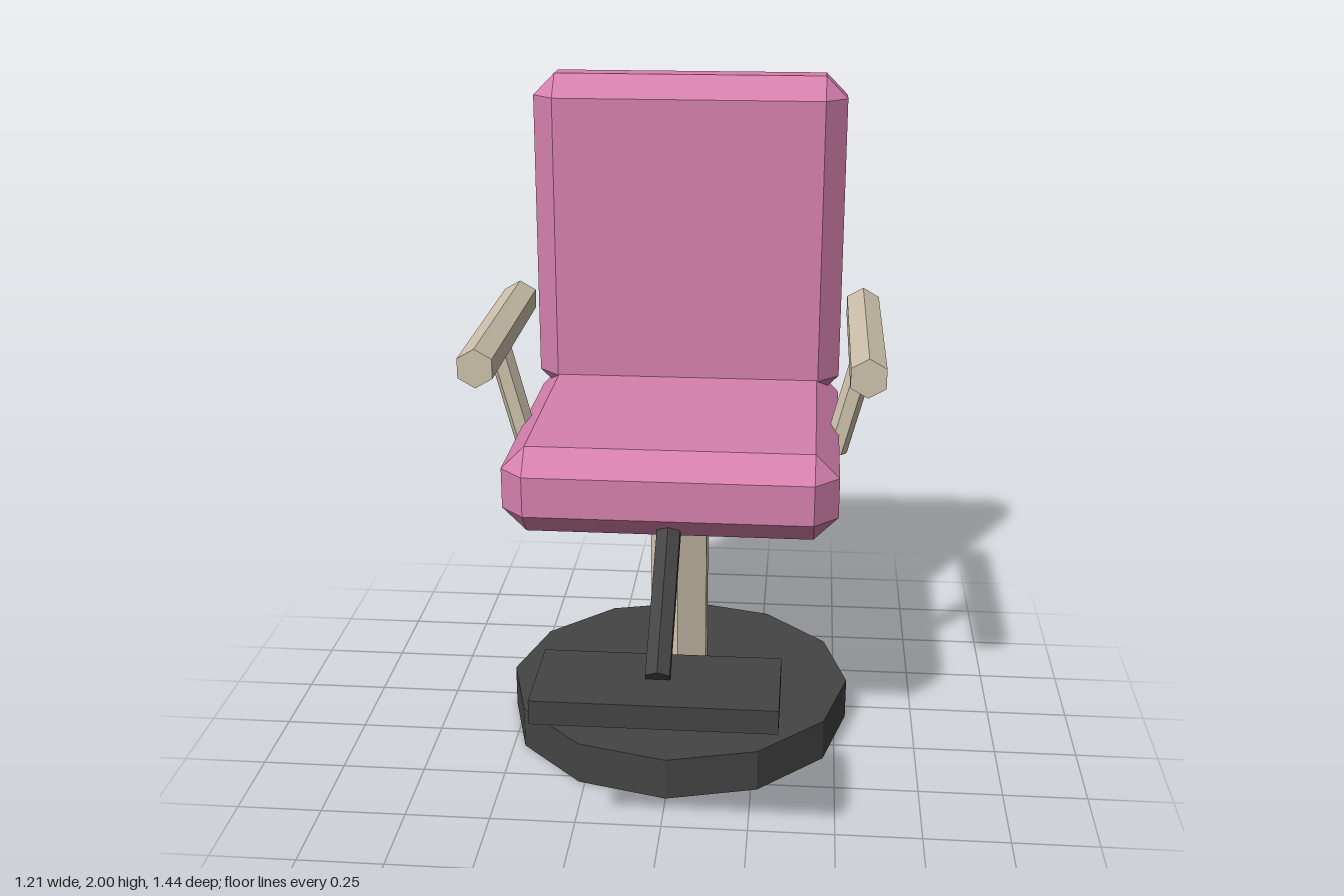
import * as THREE from 'three';
import { ConvexGeometry } from 'three/addons/geometries/ConvexGeometry.js';

const UP = new THREE.Vector3(0, 1, 0);

// Box with chamfered edges and triangular corners, given by its extents
function chamferBox([x0, x1], [y0, y1], [z0, z1], c) {
  const h = [(x1 - x0) / 2, (y1 - y0) / 2, (z1 - z0) / 2];
  const points = [];
  for (const sx of [-1, 1]) for (const sy of [-1, 1]) for (const sz of [-1, 1]) {
    for (let axis = 0; axis < 3; axis++) {
      const p = h.map((v, i) => (i === axis ? v : v - c));
      points.push(new THREE.Vector3(p[0] * sx, p[1] * sy, p[2] * sz));
    }
  }
  return new ConvexGeometry(points).translate((x0 + x1) / 2, (y0 + y1) / 2, (z0 + z1) / 2);
}

// Straight prism between two points
function rod(a, b, radius, sides = 6, roll = 0) {
  const start = new THREE.Vector3(...a), end = new THREE.Vector3(...b);
  const dir = end.clone().sub(start);
  const geometry = new THREE.CylinderGeometry(radius, radius, dir.length(), sides);
  geometry.rotateY(roll);
  geometry.applyQuaternion(new THREE.Quaternion().setFromUnitVectors(UP, dir.normalize()));
  const mid = start.add(end).multiplyScalar(0.5);
  return geometry.translate(mid.x, mid.y, mid.z);
}

export function createModel() {
  const material = (name, color) => {
    const m = new THREE.MeshStandardMaterial({ color, flatShading: true });
    m.name = name;
    return m;
  };
  const pink = material('pink upholstery', 0xd681ae);
  const beige = material('beige frame', 0xcfc3ad);
  const dark = material('dark metal', 0x444444);

  const model = new THREE.Group();
  model.name = 'salonChair';
  const add = (name, geometry, mat) => {
    const mesh = new THREE.Mesh(geometry, mat);
    mesh.name = name;
    model.add(mesh);
  };

  // Round base and column
  const cz = -0.185;
  add('base', rod([0, 0, cz], [0, 0.13, cz], 0.537, 12), dark);
  add('column', rod([0, 0.12, cz], [0, 0.82, cz], 0.1), beige);

  // Cushions
  add('seat', chamferBox([-0.485, 0.485], [0.79, 1.05], [-0.65, 0.28], 0.07), pink);
  add('backrest', chamferBox([-0.485, 0.485], [0.98, 2], [-0.68, -0.465], 0.067), pink);

  // Armrests on slanted supports
  for (const [side, s] of [['left', 1], ['right', -1]]) {
    add(side + 'Armrest', rod([s * 0.555, 1.268, -0.59], [s * 0.555, 1.268, 0.18], 0.058), beige);
    add(side + 'ArmSupport', rod([s * 0.475, 0.92, cz], [s * 0.56, 1.25, cz], 0.037, 6, Math.PI / 6), beige);
  }

  // Footrest and its strut
  add('footrestStrut', rod([0, 0.52, 0.575], [0, 0.86, 0.15], 0.039), dark);
  add('footrest', new THREE.BoxGeometry(0.67, 0.07, 0.3).translate(0, 0.48, 0.57), dark);

  return model;
}
